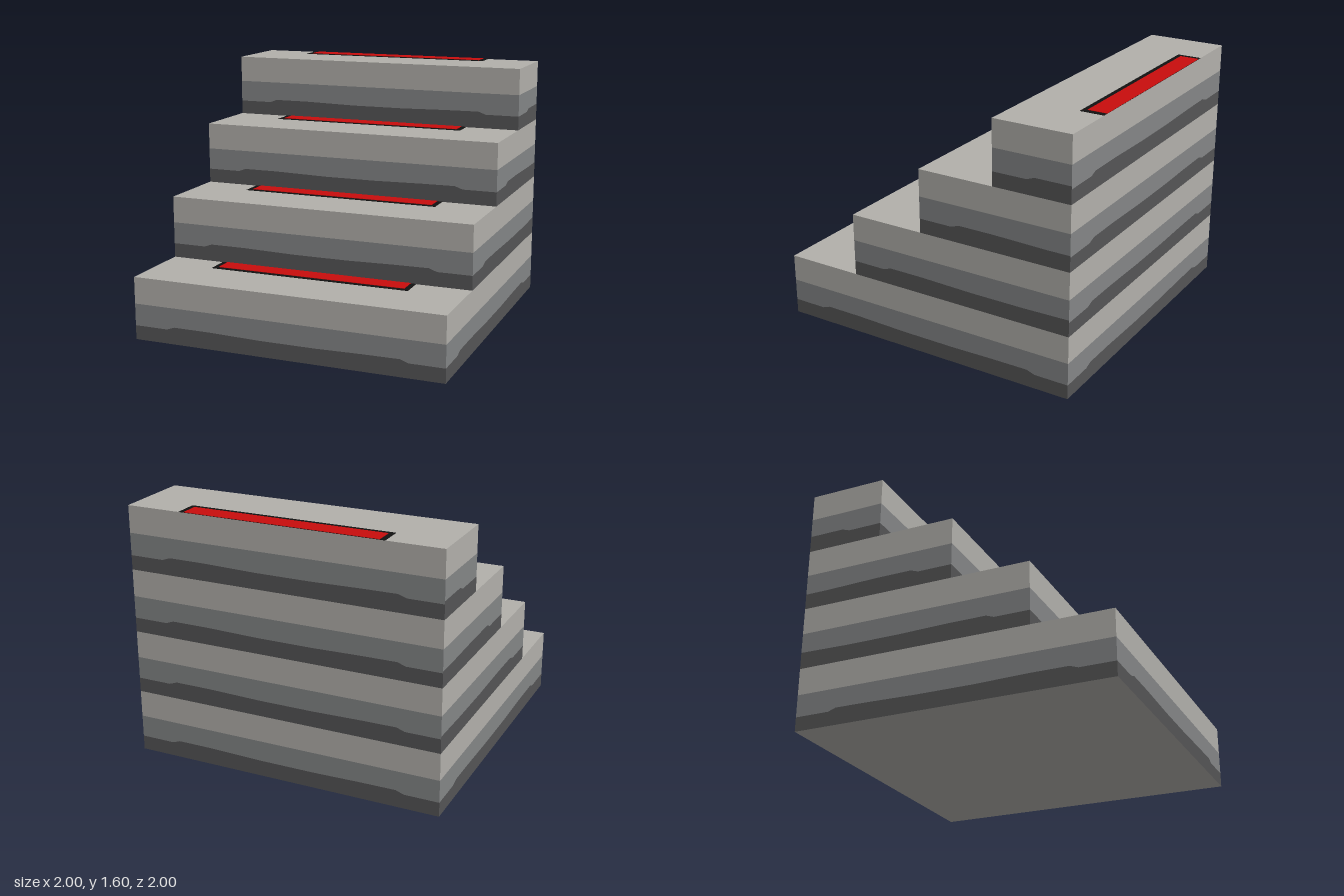
import * as THREE from 'three';

const mat = (name, color) => {
  const m = new THREE.MeshStandardMaterial({ color });
  m.name = name;
  return m;
};

const STEP_H = 0.4, STEP_D = 0.5, MID = 0.23;
// wavy top edge of the dark band: distance along the wall, height
const EDGE = [[0, 0.09], [0.22, 0.09], [0.27, 0.108], [0.5, 0.108], [0.85, 0.1],
  [1.2, 0.1], [1.5, 0.106], [1.73, 0.108], [1.78, 0.09], [2, 0.09]];

// dark band edge cut off at the wall's length
function edgeFor(len) {
  const pts = [];
  for (let i = 0; i < EDGE.length; i++) {
    const [u, h] = EDGE[i];
    if (u <= len) { pts.push([u, h]); continue; }
    const [u0, h0] = EDGE[i - 1];
    pts.push([len, h0 + (h - h0) * (len - u0) / (u - u0)]);
    break;
  }
  return pts;
}

export function createModel() {
  const stone = mat('light stone', 0xb2b0ab);
  const grey = mat('mid grey', 0x848687);
  const dark = mat('dark grey', 0x555556);
  const red = mat('red', 0xc90d0d);
  const black = mat('black', 0x111111);
  const model = new THREE.Group();
  model.name = 'steps';

  const face = (points, material, name) => {
    const shape = new THREE.Shape(points.map(([x, y]) => new THREE.Vector2(x, y)));
    const mesh = new THREE.Mesh(new THREE.ShapeGeometry(shape), material);
    mesh.name = name;
    return mesh;
  };

  // one banded wall, running along local x from 0 to len
  const wall = (name, len, x, z, turn, flip = false) => {
    const edge = edgeFor(len).map(([u, h]) => [flip ? len - u : u, h]);
    if (flip) edge.reverse();
    const g = new THREE.Group();
    g.name = name;
    g.add(
      face([[0, 0], [len, 0], ...[...edge].reverse()], dark, 'darkBand'),
      face([...edge, [len, MID], [0, MID]], grey, 'greyBand'),
      face([[0, MID], [len, MID], [len, STEP_H], [0, STEP_H]], stone, 'stoneBand'));
    g.position.set(x, 0, z);
    g.rotation.y = turn;
    return g;
  };

  const plate = (name, w, d, top, z, material) => {
    const mesh = new THREE.Mesh(new THREE.BoxGeometry(w, 0.003, d), material);
    mesh.name = name;
    mesh.position.set(0, top - 0.0015, z + d / 2);
    return mesh;
  };

  for (let i = 0; i < 4; i++) {
    const front = 1 - i * STEP_D, back = front - STEP_D, depth = front + 1;
    const step = new THREE.Group();
    step.name = 'step' + (i + 1);
    step.position.y = i * STEP_H;
    step.add(
      wall('riser', 2, -1, front, 0),
      wall('rightWall', depth, 1, front, Math.PI / 2),
      wall('backWall', 2, 1, -1, Math.PI),
      wall('leftWall', depth, -1, -1, -Math.PI / 2, true));

    // exposed tread with its inset strip
    const tread = new THREE.Mesh(new THREE.PlaneGeometry(2, STEP_D), stone);
    tread.name = 'tread';
    tread.rotation.x = -Math.PI / 2;
    tread.position.set(0, STEP_H, (front + back) / 2);
    step.add(tread,
      plate('stripBorder', 1.3, 0.15, STEP_H + 0.002, back, black),
      plate('redStrip', 1.235, 0.12, STEP_H + 0.004, back, red));
    model.add(step);
  }

  // underside
  const base = new THREE.Mesh(new THREE.PlaneGeometry(2, 2), stone);
  base.name = 'underside';
  base.rotation.x = Math.PI / 2;
  model.add(base);
  return model;
}
